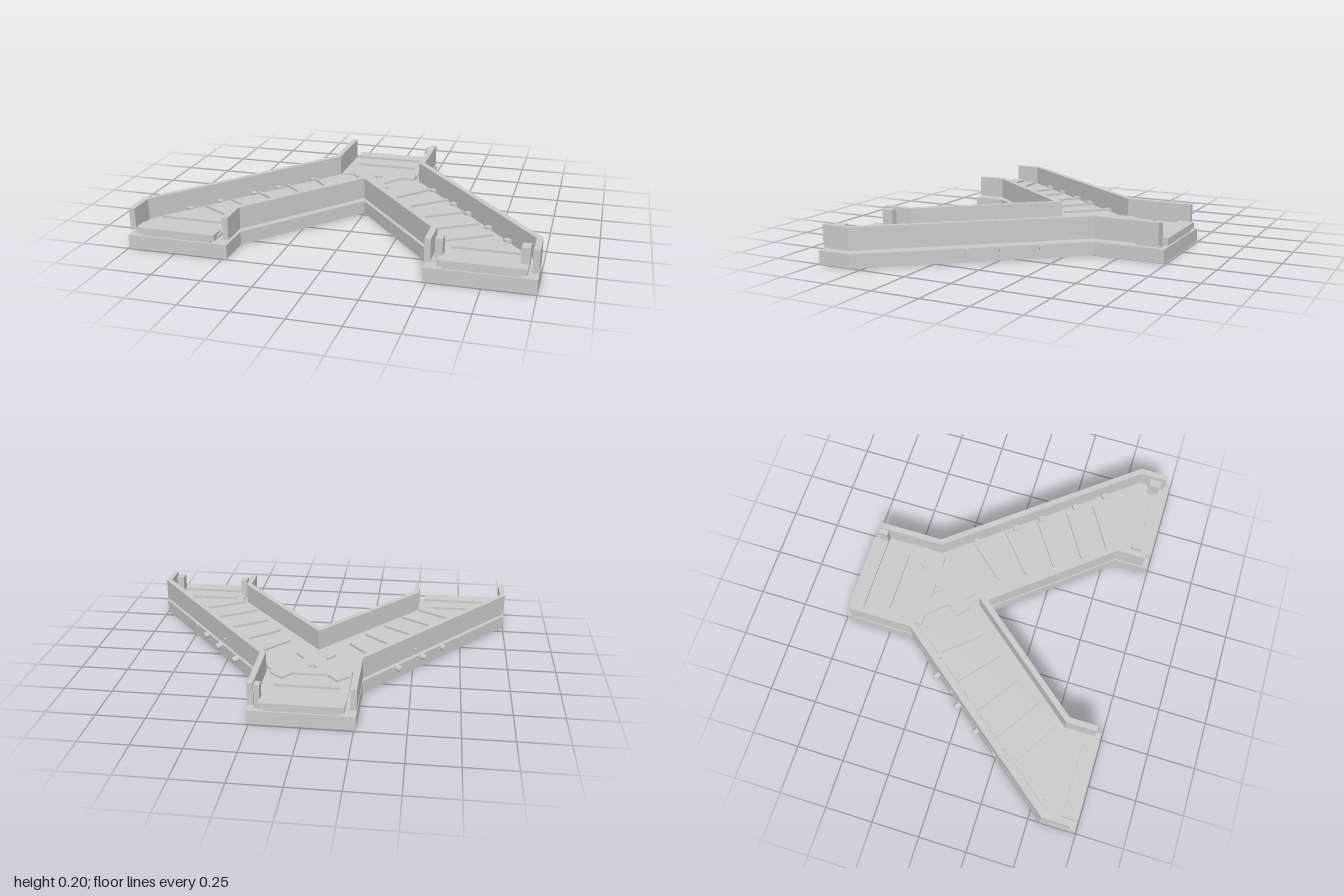
import * as THREE from 'three';

const material = new THREE.MeshStandardMaterial({ color: 0xcccccc, flatShading: true });

export function createModel() {
  const model = new THREE.Group();
  const add = (name, geometry) => {
    const mesh = new THREE.Mesh(geometry, material);
    mesh.name = name;
    model.add(mesh);
    return mesh;
  };

  // Upright slab from a plan outline of [x, z] points
  const slab = (name, points, y0, y1) => {
    const shape = new THREE.Shape(points.map(([x, z]) => new THREE.Vector2(x, -z)));
    const g = new THREE.ExtrudeGeometry(shape, { depth: y1 - y0, bevelEnabled: false });
    g.rotateX(-Math.PI / 2).translate(0, y0, 0);
    return add(name, g);
  };
  const box = (name, x0, x1, y0, y1, z0, z1) =>
    add(name, new THREE.BoxGeometry(x1 - x0, y1 - y0, z1 - z0)
      .translate((x0 + x1) / 2, (y0 + y1) / 2, (z0 + z1) / 2));

  // Flat bar between two plan points
  const bar = (name, [ax, az], [bx, bz], width, y0, y1) => {
    const g = new THREE.BoxGeometry(Math.hypot(bx - ax, bz - az), y1 - y0, width);
    g.rotateY(-Math.atan2(bz - az, bx - ax));
    return add(name, g.translate((ax + bx) / 2, (y0 + y1) / 2, (az + bz) / 2));
  };

  // Mitred copy of an open path, moved sideways by d
  const offset = (path, d) => path.map((p, i) => {
    const normal = (a, b) => new THREE.Vector2(-(b[1] - a[1]), b[0] - a[0]).normalize();
    const n1 = normal(path[Math.max(i - 1, 0)], path[Math.max(i, 1)]);
    const last = path.length - 1;
    const n2 = normal(path[Math.min(i, last - 1)], path[Math.min(i + 1, last)]);
    const m = n1.clone().add(n2);
    m.multiplyScalar(d / (1 + n1.dot(n2)));
    return [p[0] + m.x, p[1] + m.y];
  });
  const mirror = path => path.map(([x, z]) => [-x, z]).reverse();

  // Outer edge of one side, and the inner V edge
  const side = end => [[0.26, -end], [0.26, -0.37], [1, 0.56], [1, end]];
  const inner = end => [[0.48, end], [0.48, 0.56], [0, -0.025], [-0.48, 0.56], [-0.48, end]];
  const outline = (end, inset) => [
    ...offset(side(end), inset), ...offset(inner(end), inset), ...offset(mirror(side(end)), inset),
  ];

  // Base, and above a narrow gap the tray with its raised floor
  const trayY = 0.087, floorY = 0.102, ribY = 0.114;
  slab('base', outline(0.74, 0), 0, 0.07);
  slab('tray', outline(0.7, 0.015), trayY, 0.091);
  slab('floor', outline(0.7, 0.052), 0.09, floorY);

  // Parapet walls
  const wall = (name, path) =>
    slab(name, [...path, ...offset(path, 0.03).reverse()], trayY, 0.2);
  wall('leftOuterWall', side(0.71));
  wall('rightOuterWall', mirror(side(0.71)));
  wall('innerWall', inner(0.71));

  // Sills at the three ends, each on a foot
  for (const [x, s] of [[0, -1], [0.747, 1], [-0.747, 1]]) {
    const span = (a, b) => [Math.min(a * s, b * s), Math.max(a * s, b * s)];
    box('sillFoot', x - 0.18, x + 0.18, 0.07, 0.086, ...span(0.67, 0.73));
    box('sill', x - 0.205, x + 0.205, 0.084, 0.115, ...span(0.66, 0.74));
  }

  // Gate posts
  box('gatePost', 0.525, 0.56, 0.09, 0.195, 0.625, 0.685);
  box('gatePost', 0.915, 0.955, 0.09, 0.195, 0.625, 0.685);
  box('backPost', 0.2, 0.228, 0.09, 0.19, -0.71, -0.66);
  box('backSupport', 0.185, 0.228, 0.07, 0.09, -0.71, -0.58);

  // Floor ribs
  const ribs = [
    [[0.51, 0.505], [0.75, 0.36]], [[0.42, 0.385], [0.66, 0.235]], [[0.33, 0.25], [0.56, 0.095]],
    [[0.24, 0.12], [0.45, -0.06]], [[0.165, -0.01], [0.33, -0.2]], [[0.58, 0.555], [0.9, 0.555]],
  ];
  bar('floorRib', [-0.165, -0.53], [0.165, -0.53], 0.013, floorY, ribY);

  // Junction plates
  box('junctionPlate', -0.205, 0.205, floorY, 0.113, -0.4, -0.33);

  // Outward direction of the diagonal outer wall
  const out = new THREE.Vector3(0.93, 0, -0.74).normalize();
  for (const s of [1, -1]) {
    const flip = ([x, z]) => [x * s, z];
    for (const [a, b] of ribs) bar('floorRib', flip(a), flip(b), 0.013, floorY, ribY);
    bar('junctionBrace', flip([0.17, -0.43]), flip([-0.07, -0.14]), 0.085, floorY, 0.1125);

    // Stub pipes through the side of the base, and a small bolt in the wall
    const stub = (name, z, y, r, reach) => {
      const x = 0.26 + (z + 0.37) * 0.796;
      const dir = new THREE.Vector3(out.x * s, 0, out.z);
      const m = add(name, new THREE.CylinderGeometry(r, r, reach + 0.03, 10));
      m.quaternion.setFromUnitVectors(new THREE.Vector3(0, 1, 0), dir);
      m.position.set(x * s, y, z).addScaledVector(dir, (reach - 0.03) / 2);
    };
    for (const [z, reach] of [[-0.165, 0.03], [-0.01, 0.03], [0.12, 0.023], [0.237, 0.005]])
      stub('stubPipe', z, 0.056, 0.016, reach);
    stub('wallBolt', -0.06, 0.12, 0.006, 0.01);

    // Small lugs between floor and outer wall
    for (const z of [-0.22, -0.04, 0.08, 0.24, 0.38]) {
      const x = 0.26 + (z + 0.37) * 0.796;
      const p = d => flip([x - out.x * d, z - out.z * d]);
      bar('floorLug', p(0.028), p(0.06), 0.03, 0.09, 0.112);
    }
  }
  add('junctionBolt', new THREE.CylinderGeometry(0.01, 0.01, 0.02, 10).translate(0, 0.107, -0.32));

  return model;
}
